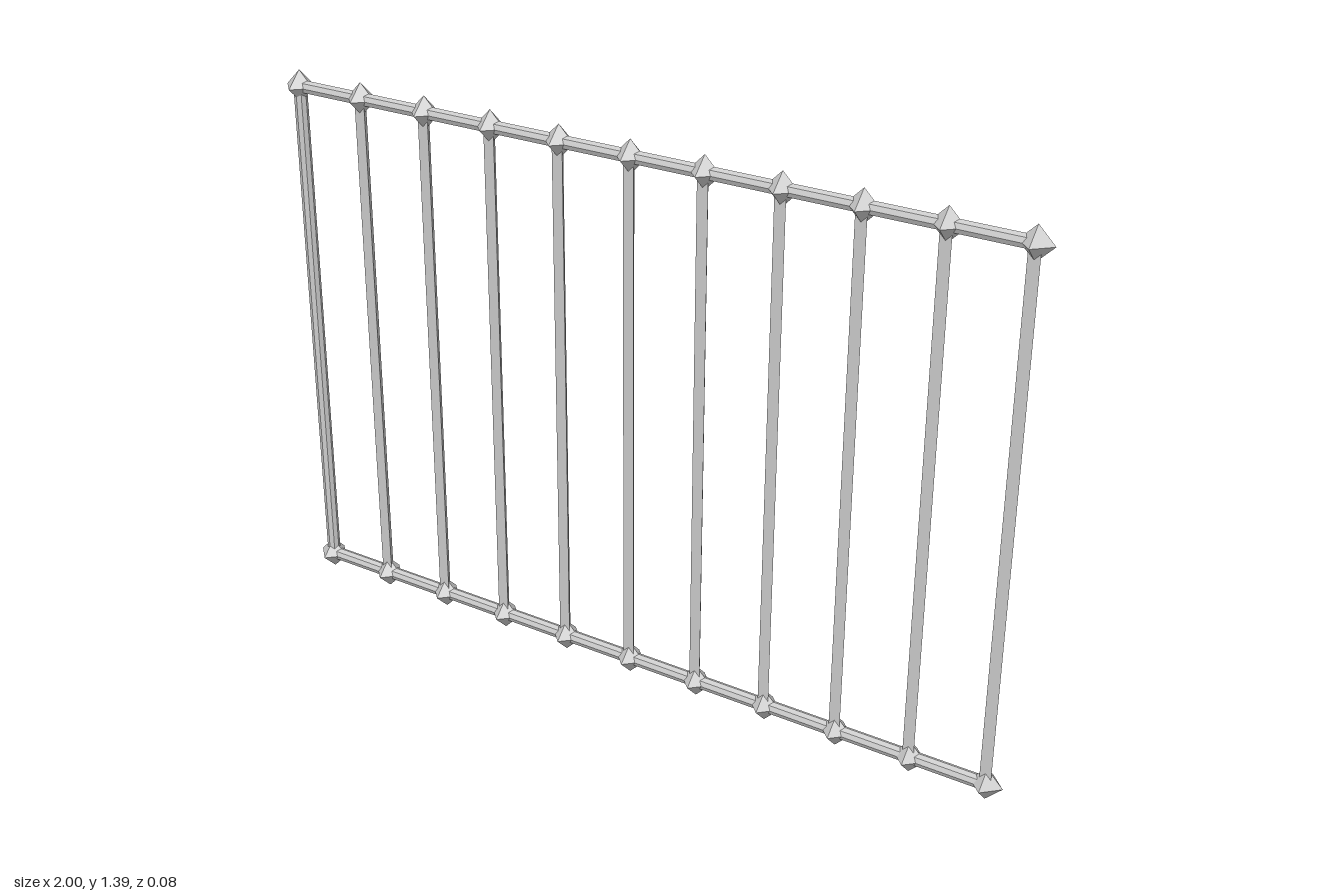
import * as THREE from 'three';

export function createModel() {
  const model = new THREE.Group();
  const material = new THREE.MeshStandardMaterial({ color: 0xcccccc, flatShading: true });

  const knotRadius = 0.041, barRadius = 0.0165;
  const halfWidth = 1 - knotRadius;
  const bottom = knotRadius, top = 1.347;
  const middle = (bottom + top) / 2, height = top - bottom;
  const bays = 10, bay = (2 * halfWidth) / bays;

  function add(name, geometry, x, y) {
    const mesh = new THREE.Mesh(geometry, material);
    mesh.name = name;
    mesh.position.set(x, y, 0);
    model.add(mesh);
    return mesh;
  }

  // Eight-sided rails and end post, three-sided bars with a flat face to the front
  const rail = new THREE.CylinderGeometry(barRadius, barRadius, 2 * halfWidth, 8).rotateZ(Math.PI / 2);
  const endPost = new THREE.CylinderGeometry(barRadius, barRadius, height, 8);
  const bar = new THREE.CylinderGeometry(barRadius, barRadius, height, 3).rotateY(Math.PI);
  const knot = new THREE.OctahedronGeometry(knotRadius);

  add('bottomRail', rail, 0, bottom);
  add('topRail', rail, 0, top);

  // Uprights with a faceted knot at each joint
  for (let i = 0; i <= bays; i++) {
    const x = -halfWidth + i * bay;
    if (i === 0) add('endPost', endPost, x, middle);
    else add('uprightBar', bar, x, middle);
    add('bottomKnot', knot, x, bottom);
    add('topKnot', knot, x, top);
  }
  return model;
}
